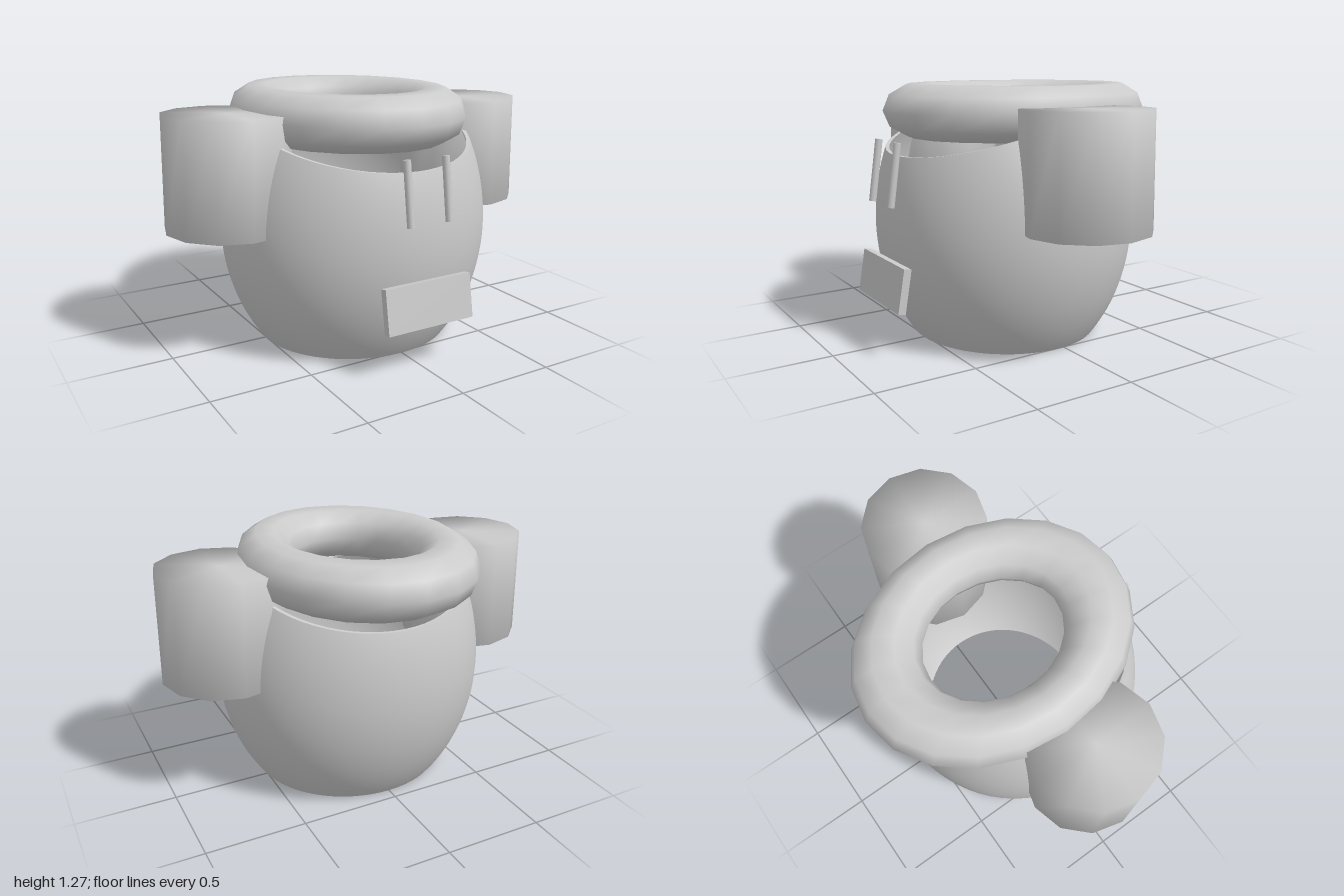
import * as THREE from 'three';
import { mergeVertices } from 'three/addons/utils/BufferGeometryUtils.js';
import { ParametricGeometry } from 'three/addons/geometries/ParametricGeometry.js';

const material = new THREE.MeshStandardMaterial({ color: 0xcccccc });
const BODY_Z = 0.04;
const DEPTH = 0.943; // body is slightly shallower than wide
const WALL = 0.02;

// barrel radius at a given height
function bodyRadius(y) {
  const t = (y - 0.58) / (y < 0.58 ? 0.844 : 0.9);
  return 0.695 * Math.sqrt(1 - t * t);
}

// rim height: dips at front and back, rises to the sides
function rimHeight(angle) {
  return 0.94 + 0.165 * (1 - Math.pow(Math.abs(Math.cos(angle)), 1.15));
}

function bodyPoint(angle, t, inset, target) {
  const y = t * rimHeight(angle);
  const r = bodyRadius(y) - inset;
  target.set(Math.sin(angle) * r, y, Math.cos(angle) * r * DEPTH + BODY_Z);
}

export function createModel() {
  const model = new THREE.Group();

  function add(name, geometry, parent = model) {
    const mesh = new THREE.Mesh(geometry, material);
    mesh.name = name;
    parent.add(mesh);
    return mesh;
  }

  // hollow barrel body with saddle-shaped rim
  const body = new THREE.Group();
  body.name = 'body';
  model.add(body);
  const TAU = Math.PI * 2;
  add('outerWall', new ParametricGeometry((u, v, p) => bodyPoint(u * TAU, v, 0, p), 64, 24), body);
  add('innerWall', new ParametricGeometry((u, v, p) => bodyPoint(-u * TAU, v, WALL, p), 64, 24), body);
  add('rim', new ParametricGeometry((u, v, p) => bodyPoint(u * TAU, 1, v * WALL, p), 64, 1), body);
  const base = new THREE.CircleGeometry(bodyRadius(0), 64);
  base.scale(1, DEPTH, 1).rotateX(Math.PI / 2);
  add('base', base, body).position.z = BODY_Z;

  // oval collar ring floating over the rim
  const ring = new THREE.TorusGeometry(0.435, 0.145, 10, 20);
  ring.rotateX(Math.PI / 2).scale(1, 0.94, 1.22);
  add('collarRing', ring).position.set(0, 1.145, -0.045);

  // softly shaded capped cylinder for the arms
  const arm = new THREE.CylinderGeometry(0.31, 0.31, 0.555, 12);
  arm.deleteAttribute('normal');
  arm.deleteAttribute('uv');
  const softArm = mergeVertices(arm);
  softArm.computeVertexNormals();

  const bar = new THREE.CylinderGeometry(0.018, 0.018, 0.305, 12);
  for (const side of [1, -1]) {
    const prefix = side > 0 ? 'left' : 'right';
    const armMesh = add(prefix + 'Arm', softArm);
    armMesh.position.set(side * 0.687, 0.905, 0.022);
    armMesh.rotation.z = side * 0.015;

    // thin leaning bars in front of the chest
    const barMesh = add(prefix + 'Bar', bar);
    barMesh.position.set(side * 0.107, 0.863, 0.704);
    barMesh.rotation.x = -0.14;
  }

  // tilted front plate
  const plate = add('frontPlate', new THREE.BoxGeometry(0.476, 0.216, 0.038));
  plate.position.set(0, 0.333, 0.724);
  plate.rotation.x = -0.165;

  return model;
}
